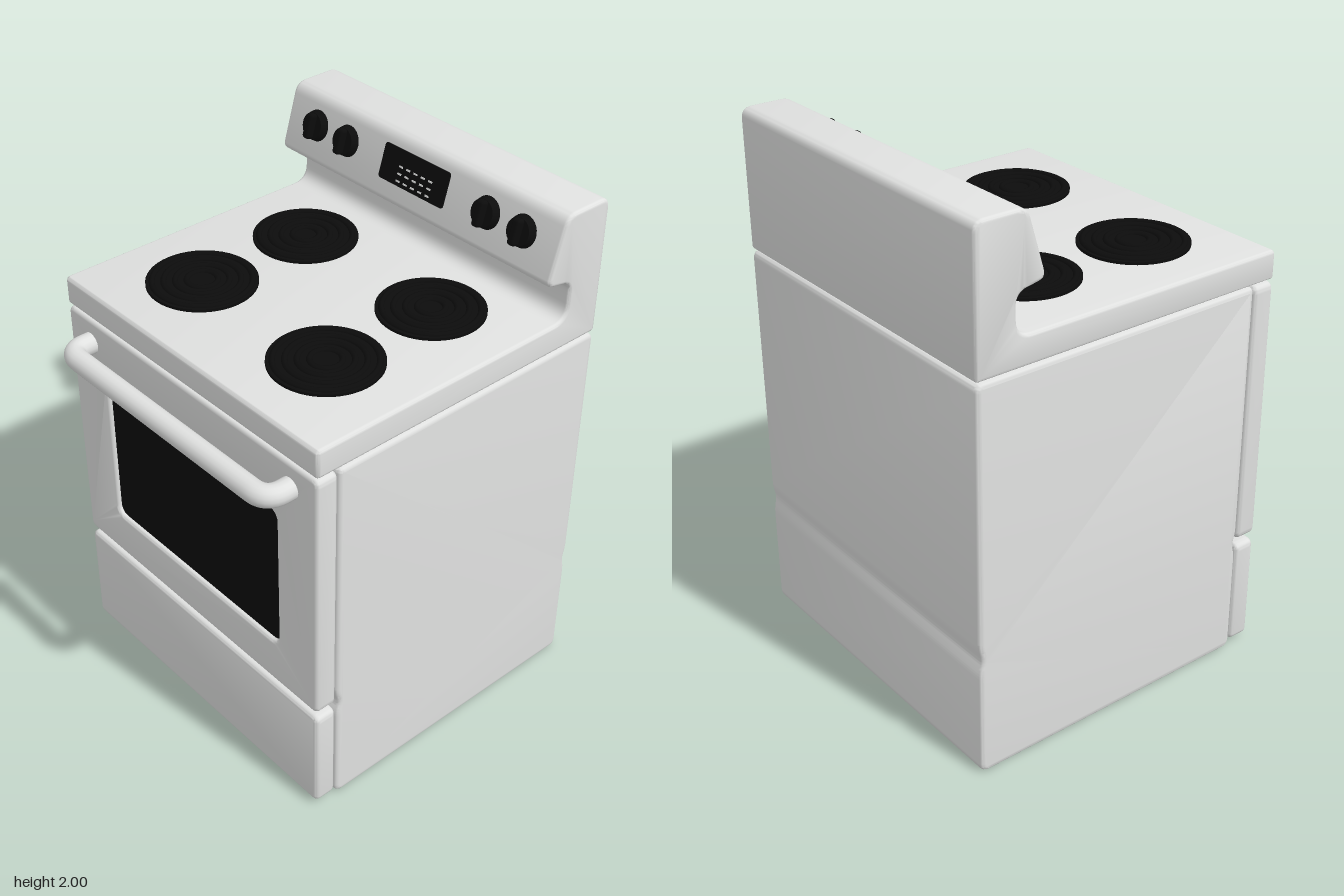
import * as THREE from 'three';
import { toCreasedNormals } from 'three/addons/utils/BufferGeometryUtils.js';
import { RoundedBoxGeometry } from 'three/addons/geometries/RoundedBoxGeometry.js';

const enamel = new THREE.MeshStandardMaterial({ color: 0xe0e1e0 });
enamel.name = 'white enamel';
const black = new THREE.MeshStandardMaterial({ color: 0x0c0c0c });
black.name = 'black';

function add(parent, name, geometry, material, x = 0, y = 0, z = 0) {
  const mesh = new THREE.Mesh(geometry, material);
  mesh.name = name;
  mesh.position.set(x, y, z);
  parent.add(mesh);
  return mesh;
}

// Rounded rectangle, used for outlines and holes
function roundRect(path, x0, y0, x1, y1, r) {
  path.moveTo(x0 + r, y0);
  path.lineTo(x1 - r, y0);
  path.quadraticCurveTo(x1, y0, x1, y0 + r);
  path.lineTo(x1, y1 - r);
  path.quadraticCurveTo(x1, y1, x1 - r, y1);
  path.lineTo(x0 + r, y1);
  path.quadraticCurveTo(x0, y1, x0, y1 - r);
  path.lineTo(x0, y0 + r);
  path.quadraticCurveTo(x0, y0, x0 + r, y0);
  return path;
}

// Bevelled extrusion kept within its outline and total depth
function bevelled(shape, depth, bevel) {
  const geometry = new THREE.ExtrudeGeometry(shape, {
    depth: depth - 2 * bevel, bevelThickness: bevel, bevelSize: bevel,
    bevelOffset: -bevel, bevelSegments: 4, curveSegments: 8,
  });
  geometry.translate(0, 0, bevel);
  return toCreasedNormals(geometry, 0.6);
}

// Side profile of [z, y, corner radius] points, extruded across the width
function sideProfile(points, width, bevel) {
  const pts = points.map(([z, y]) => new THREE.Vector2(-z, y));
  const shape = new THREE.Shape();
  pts.forEach((p, i) => {
    const prev = pts[(i + pts.length - 1) % pts.length];
    const next = pts[(i + 1) % pts.length];
    const r = points[i][2];
    const a = prev.clone().sub(p).setLength(r).add(p);
    const b = next.clone().sub(p).setLength(r).add(p);
    if (i === 0) shape.moveTo(a.x, a.y);
    else shape.lineTo(a.x, a.y);
    shape.quadraticCurveTo(p.x, p.y, b.x, b.y);
  });
  shape.closePath();
  const geometry = bevelled(shape, width, bevel);
  geometry.rotateY(Math.PI / 2);
  geometry.translate(-width / 2, 0, 0);
  return geometry;
}

export function createModel() {
  const stove = new THREE.Group();
  stove.name = 'stove';

  // Cabinet with a shallow crease around the drawer line
  add(stove, 'cabinet', sideProfile([
    [0.47, 0, 0.035], [0.47, 0.41, 0.02], [0.457, 0.455, 0.02], [0.47, 0.5, 0.02],
    [0.47, 1.478, 0.02], [-0.695, 1.478, 0.03], [-0.695, 0.51, 0.02],
    [-0.684, 0.46, 0.02], [-0.695, 0.41, 0.02], [-0.695, 0, 0.035],
  ], 1.33, 0.018), enamel);

  // Cooktop and overhanging backguard in one profile
  add(stove, 'cooktopAndBackguard', sideProfile([
    [0.56, 1.484, 0.015], [0.56, 1.592, 0.02], [-0.54, 1.592, 0.06],
    [-0.54, 1.735, 0.04], [-0.425, 1.755, 0.035], [-0.497, 2.0, 0.04],
    [-0.695, 2.0, 0.04], [-0.695, 1.484, 0.015],
  ], 1.33, 0.014), enamel);

  // Oven door with a recessed window
  const doorShape = roundRect(new THREE.Shape(), -0.665, 0.467, 0.665, 1.475, 0.03);
  doorShape.holes.push(roundRect(new THREE.Path(), -0.462, 0.652, 0.462, 1.232, 0.04));
  add(stove, 'ovenDoor', bevelled(doorShape, 0.086, 0.016), enamel, 0, 0, 0.474);
  add(stove, 'ovenWindow', new THREE.BoxGeometry(0.97, 0.62, 0.009), black, 0, 0.942, 0.539);

  // Storage drawer
  add(stove, 'drawer', bevelled(
    roundRect(new THREE.Shape(), -0.665, 0.018, 0.665, 0.443, 0.03), 0.086, 0.018,
  ), enamel, 0, 0, 0.474);

  // Door handle
  const v = (x, z) => new THREE.Vector3(x, 1.38, z);
  const path = new THREE.CurvePath();
  path.add(new THREE.LineCurve3(v(-0.535, 0.545), v(-0.535, 0.59)));
  path.add(new THREE.QuadraticBezierCurve3(v(-0.535, 0.59), v(-0.535, 0.656), v(-0.465, 0.656)));
  path.add(new THREE.LineCurve3(v(-0.465, 0.656), v(0.465, 0.656)));
  path.add(new THREE.QuadraticBezierCurve3(v(0.465, 0.656), v(0.535, 0.656), v(0.535, 0.59)));
  path.add(new THREE.LineCurve3(v(0.535, 0.59), v(0.535, 0.545)));
  add(stove, 'doorHandle', new THREE.TubeGeometry(path, 100, 0.04, 16), enamel);

  // Burners: dark pan with raised coils
  for (const side of [-1, 1]) {
    for (const [z, r] of [[-0.245, 0.19], [0.225, 0.196]]) {
      const burner = new THREE.Group();
      burner.name = 'burner';
      burner.position.set(side * 0.322, 1.592, z);
      add(burner, 'burnerPan', new THREE.CylinderGeometry(r, r, 0.012, 48), black, 0, 0.004, 0);
      for (let i = 0; i < 4; i++) {
        const coil = new THREE.TorusGeometry(r - 0.022 - i * 0.04, 0.011, 8, 40);
        coil.rotateX(Math.PI / 2);
        add(burner, 'burnerCoil', coil, black, 0, 0.008, 0);
      }
      stove.add(burner);
    }
  }

  // Control panel, tilted to lie on the sloping backguard face
  const panel = new THREE.Group();
  panel.name = 'controlPanel';
  panel.position.set(0, 1.89, -0.464);
  panel.rotation.x = -Math.atan2(0.072, 0.245);
  stove.add(panel);

  for (const x of [-0.51, -0.347, 0.343, 0.505]) {
    const knob = new THREE.Group();
    knob.name = 'knob';
    knob.position.x = x;
    const base = new THREE.CylinderGeometry(0.048, 0.058, 0.03, 28);
    base.rotateX(Math.PI / 2);
    add(knob, 'knobBase', base, black, 0, 0, 0.012);
    add(knob, 'knobGrip', new RoundedBoxGeometry(0.034, 0.095, 0.034, 3, 0.012), black, 0, 0, 0.036);
    panel.add(knob);
  }

  // Display with small light indicator marks
  const display = roundRect(new THREE.Shape(), -0.16, -0.062, 0.156, 0.066, 0.012);
  add(panel, 'display', new THREE.ExtrudeGeometry(display, { depth: 0.008, bevelEnabled: false }),
    black, 0, 0, -0.003);
  for (let row = 0; row < 3; row++) {
    for (let i = 0; i < 5; i++) {
      add(panel, 'indicatorMark', new THREE.BoxGeometry(0.018, 0.006, 0.003), enamel,
        -0.065 + i * 0.036, -0.045 + row * 0.026, 0.006);
    }
  }

  return stove;
}
